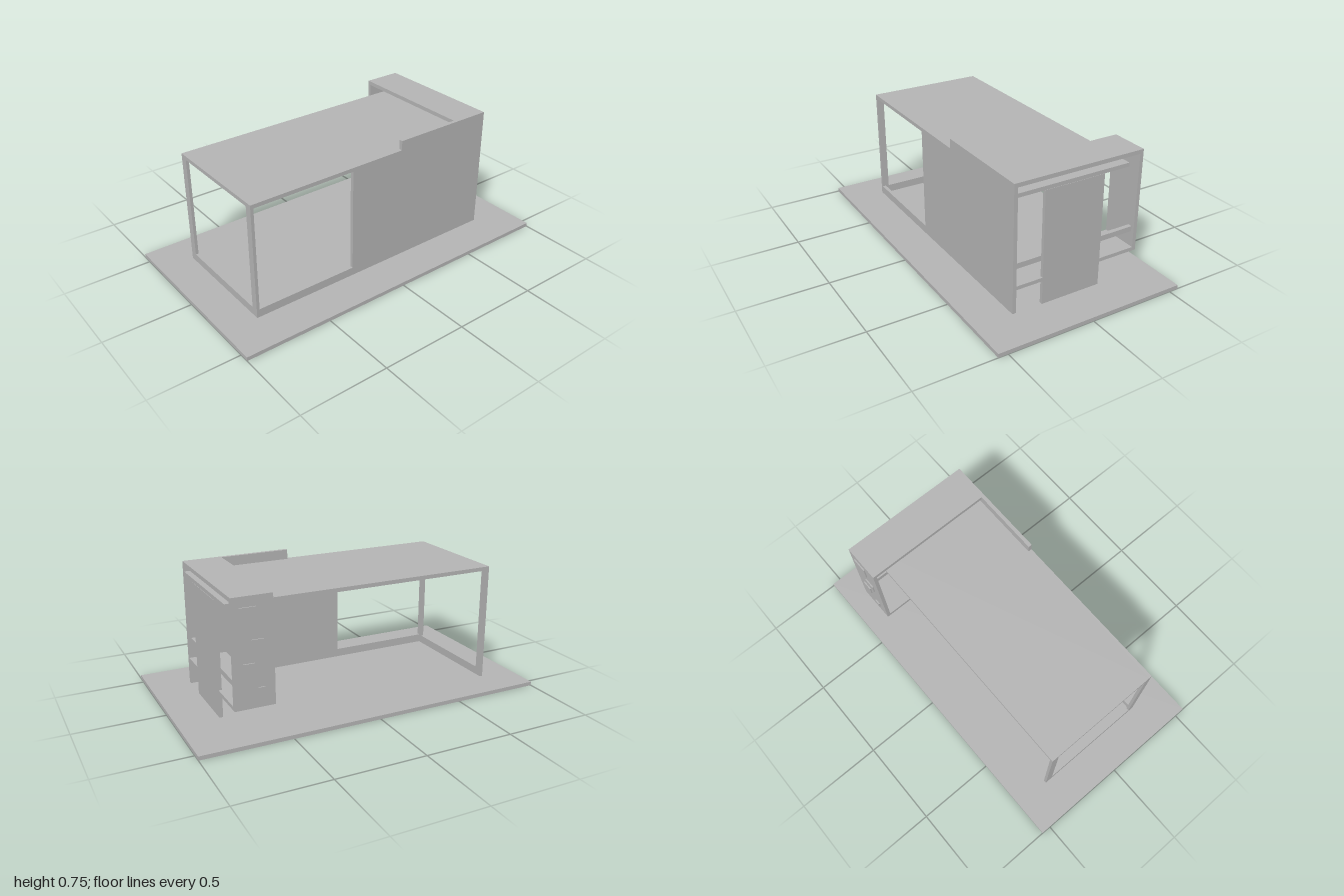
import * as THREE from 'three';

export function createModel() {
  const model = new THREE.Group();
  model.name = 'openPavilion';
  const grey = new THREE.MeshStandardMaterial({ color: 0xb4b4b4 });
  grey.name = 'plainGrey';

  // Box given by its minimum and maximum along each axis
  function slab(name, [x0, x1], [y0, y1], [z0, z1]) {
    const mesh = new THREE.Mesh(new THREE.BoxGeometry(x1 - x0, y1 - y0, z1 - z0), grey);
    mesh.position.set((x0 + x1) / 2, (y0 + y1) / 2, (z0 + z1) / 2);
    mesh.name = name;
    model.add(mesh);
  }
  const points = (list) => list.map(([x, y]) => new THREE.Vector2(x, y));

  slab('basePlate', [-1, 1], [0, 0.022], [-0.555, 0.555]);

  // Front wall with stepped parapet and one large opening
  const outline = new THREE.Shape(points([
    [-0.8, 0.022], [0.77, 0.022], [0.77, 0.745], [0.15, 0.745], [0.15, 0.69], [-0.8, 0.69],
  ]));
  outline.holes.push(new THREE.Path(points([
    [-0.783, 0.07], [-0.783, 0.668], [-0.18, 0.668], [-0.18, 0.07],
  ])));
  const wall = new THREE.Mesh(
    new THREE.ExtrudeGeometry(outline, { depth: 0.021, bevelEnabled: false }), grey);
  wall.position.z = 0.31;
  wall.name = 'frontWall';
  model.add(wall);

  // Main roof and the open frame at its far end
  slab('mainRoof', [-0.8, 0.77], [0.668, 0.69], [-0.355, 0.31]);
  slab('frameFrontPost', [-0.8, -0.783], [0.022, 0.668], [0.29, 0.31]);
  slab('frameBackPost', [-0.8, -0.783], [0.022, 0.668], [-0.355, -0.311]);
  slab('frameSill', [-0.8, -0.783], [0.022, 0.068], [-0.311, 0.29]);

  // Wrapping band: upper roof, back wall and raised floor
  slab('upperRoof', [0.55, 0.77], [0.722, 0.745], [-0.443, 0.31]);
  slab('backWall', [0.55, 0.77], [0.157, 0.722], [-0.443, -0.422]);
  slab('raisedFloor', [0.55, 0.77], [0.157, 0.178], [-0.422, 0.31]);

  // End panel and the rail behind it
  slab('endPanel', [0.752, 0.772], [0.022, 0.668], [-0.2, 0.155]);
  slab('rail', [0.727, 0.752], [0.267, 0.297], [-0.422, 0.31]);

  // Square plates on the back wall: x, y, size
  for (const [x, y, size] of [
    [0.64, 0.6, 0.09], [0.605, 0.455, 0.066], [0.658, 0.34, 0.06], [0.605, 0.23, 0.036],
  ]) slab('wallPlate', [x, x + size], [y, y + size], [-0.45, -0.443]);

  // Ceiling strips under the main roof
  for (const x of [-0.59, 0.11])
    for (const z of [-0.21, 0.112])
      slab('ceilingStrip', [x, x + 0.46], [0.659, 0.668], [z, z + 0.02]);

  return model;
}
